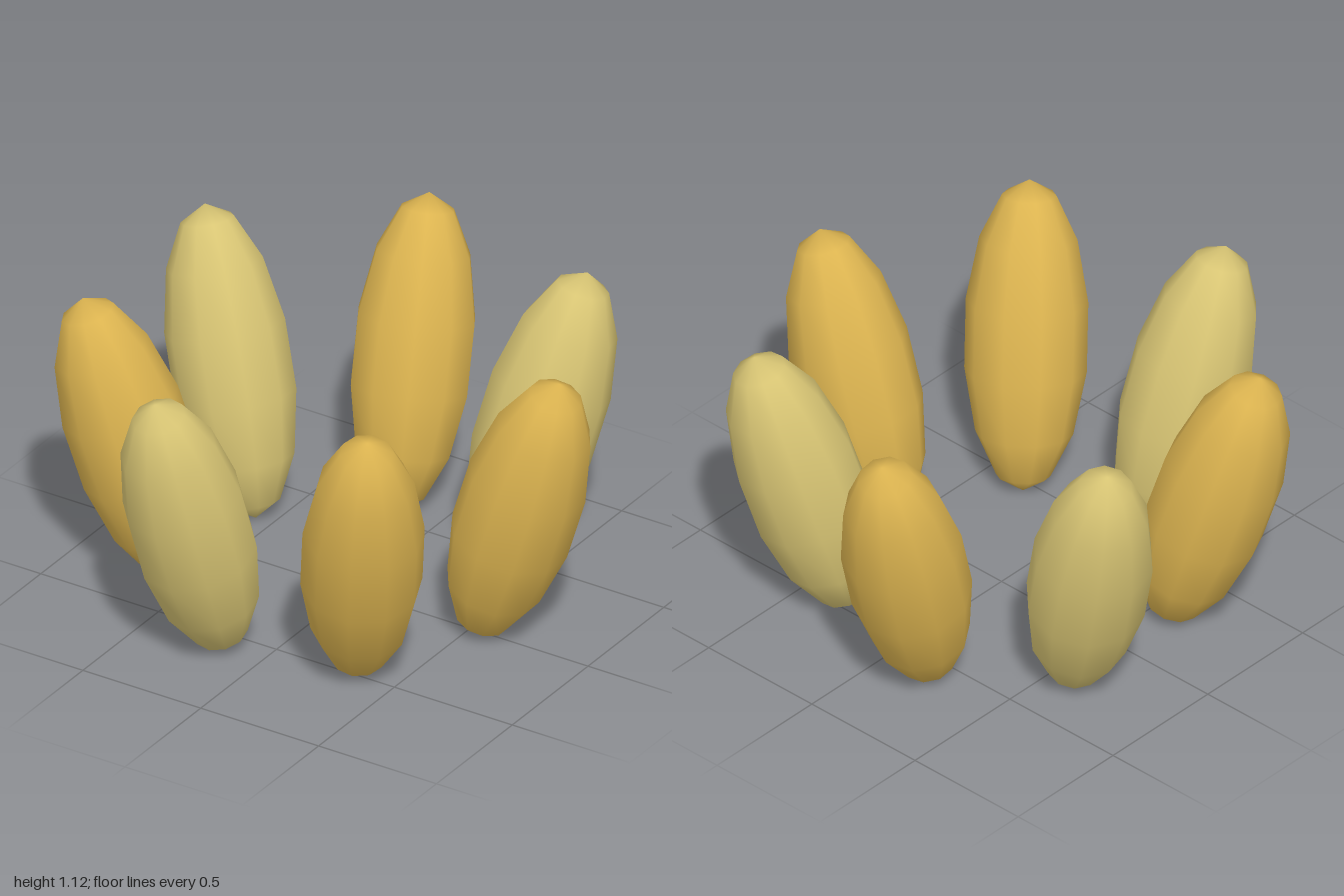
import * as THREE from 'three';

export function createModel() {
  const model = new THREE.Group();
  model.name = 'petalRing';

  const gold = new THREE.MeshStandardMaterial({ name: 'gold', color: 0xdcb450 });
  const paleGold = new THREE.MeshStandardMaterial({ name: 'paleGold', color: 0xd8c574 });

  // one elongated low-poly petal, shared by the whole ring
  const petalShape = new THREE.SphereGeometry(1, 10, 7).scale(0.225, 0.588, 0.225);

  const count = 7;
  const ringRadius = 0.755;
  const ringX = -0.048; // centres the seven-sided ring's extents on x = 0
  const tilt = 0.3;
  const colours = [gold, gold, paleGold, gold, paleGold, gold, paleGold];

  // petals stand in a ring and lean outward
  for (let i = 0; i < count; i++) {
    const angle = (i / count) * Math.PI * 2;
    const petal = new THREE.Mesh(petalShape, colours[i]);
    petal.name = `petal${i + 1}`;
    petal.rotation.order = 'YXZ';
    petal.rotation.set(tilt, Math.PI / 2 - angle, 0);
    petal.position.set(
      ringX + Math.cos(angle) * ringRadius,
      0.562,
      Math.sin(angle) * ringRadius
    );
    model.add(petal);
  }

  return model;
}
